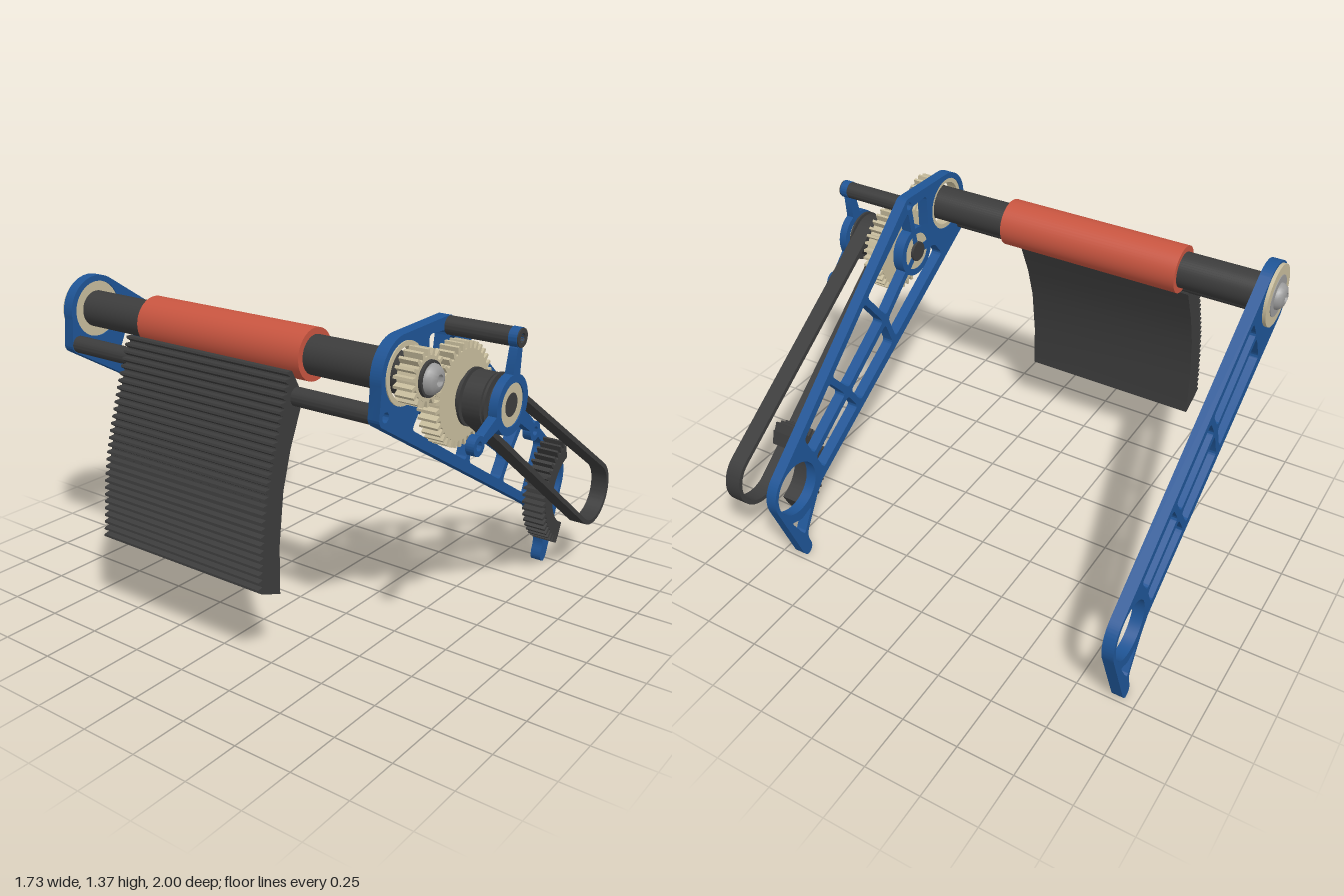
import * as THREE from 'three';
import { toCreasedNormals } from 'three/addons/utils/BufferGeometryUtils.js';

const mat = (color) => new THREE.MeshStandardMaterial({ color });
const BLUE = mat(0x1f5596), DARK = mat(0x3c3c3c), BEIGE = mat(0xc8bd9d), RED = mat(0xc85540), STEEL = mat(0x9a9a9a);
const rad = THREE.MathUtils.degToRad;

// Key axes in the x,y plane
const ROLLER = [-0.505, 1.22], ROD = [-0.62, 1.085], HUB = [-0.25, 1.093], RING = [0.725, 0.397];
const POST = [-0.21, 1.335];

export function createModel() {
  const group = new THREE.Group();

  const add = (name, geometry, material, parent = group) => {
    const mesh = new THREE.Mesh(geometry, material);
    mesh.name = name;
    parent.add(mesh);
    return mesh;
  };
  // Extrude a shape from z0 to z1
  const slab = (name, shape, z0, z1, material, parent) => {
    const g = new THREE.ExtrudeGeometry(shape, { depth: z1 - z0, bevelEnabled: false, curveSegments: 24 });
    g.translate(0, 0, z0);
    return add(name, toCreasedNormals(g, 0.5), material, parent);
  };
  const circle = (c, r) => new THREE.Path().absarc(c[0], c[1], r, 0, Math.PI * 2, false);
  const tube = (name, c, ro, ri, z0, z1, material, parent) => {
    const s = new THREE.Shape().absarc(c[0], c[1], ro, 0, Math.PI * 2, false);
    if (ri > 0) s.holes.push(circle(c, ri));
    return slab(name, s, z0, z1, material, parent);
  };
  // Outline wrapped tightly round two circles
  const hull = (a, ra, b, rb, Kind = THREE.Shape) => {
    const dx = b[0] - a[0], dy = b[1] - a[1];
    const t = Math.atan2(dy, dx), k = Math.acos((ra - rb) / Math.hypot(dx, dy));
    const s = new Kind();
    s.absarc(a[0], a[1], ra, t + k, t - k + Math.PI * 2, false);
    s.absarc(b[0], b[1], rb, t - k, t + k, false);
    s.closePath();
    return s;
  };
  // Window between bar centre lines: convex polygon shrunk by w, corners rounded
  const cell = (pts, w = 0.015) => {
    let p = pts.map((q) => new THREE.Vector2(...q));
    if (THREE.ShapeUtils.area(p) < 0) p.reverse();
    const n = p.length;
    const dir = p.map((q, i) => p[(i + 1) % n].clone().sub(q).normalize());
    p = p.map((q, i) => {
      const d0 = dir[(i + n - 1) % n], d1 = dir[i];
      const m = new THREE.Vector2(-d0.y - d1.y, d0.x + d1.x);
      return q.clone().addScaledVector(m, w / (1 + d0.dot(d1)));
    });
    const path = new THREE.Path(), r = 0.022;
    p.forEach((q, i) => {
      const s = q.clone().addScaledVector(dir[(i + n - 1) % n], -r), e = q.clone().addScaledVector(dir[i], r);
      if (i) path.lineTo(s.x, s.y); else path.moveTo(s.x, s.y);
      path.quadraticCurveTo(q.x, q.y, e.x, e.y);
    });
    path.closePath();
    return path;
  };
  // Toothed disc, or toothed sector when a0..a1 is less than a full turn
  const gear = (c, tip, root, n, inner, a0 = 0, a1 = Math.PI * 2) => {
    const pts = [], step = (a1 - a0) / n, full = a1 - a0 > 6.28;
    for (let i = 0; i < n; i++)
      for (const [f, r] of [[0, root], [0.25, root], [0.4, tip], [0.7, tip], [0.85, root]]) {
        const a = a0 + (i + f) * step;
        pts.push(new THREE.Vector2(c[0] + r * Math.cos(a), c[1] + r * Math.sin(a)));
      }
    const s = new THREE.Shape(pts);
    if (full) s.holes.push(circle(c, inner));
    else s.absarc(c[0], c[1], inner, a1, a0, true);
    return s;
  };

  // Side arms: shared outline with a hooked foot; the front one has a raised gear corner
  const arm = (raised) => {
    const top = rad(raised ? 49 : 56.2);
    const s = new THREE.Shape();
    s.absarc(...ROLLER, 0.145, raised ? rad(93) : top, rad(190), false);
    s.absarc(...ROD, 0.04, rad(185), rad(238.5), false);
    s.lineTo(0.56, 0.33);
    s.lineTo(0.61, 0.27);
    s.lineTo(0.69, 0.135);
    s.quadraticCurveTo(0.705, 0.1, 0.69, 0.065);
    s.quadraticCurveTo(0.67, 0.01, 0.712, 0);
    s.quadraticCurveTo(0.735, 0.005, 0.748, 0.045);
    s.absarc(...RING, 0.143, rad(-20), top, false);
    if (raised) s.absarc(...POST, 0.038, top, rad(93), false);
    s.closePath();
    s.holes.push(circle(ROLLER, 0.12), circle(RING, 0.124));
    s.holes.push(cell([[0.615, 0.272], [0.725, 0.235], [0.825, 0.275], [0.72, 0.09]], 0.016));
    if (raised) s.holes.push(circle(POST, 0.018));
    s.holes.push(circle(ROD, 0.02));

    // Ladder of windows either side of the middle bar
    const M = [[-0.355, 1.12], [0.016, 0.87], [0.324, 0.662], [0.6, 0.478]];
    const B = [[-0.43, 0.965], [-0.04, 0.722], [0.25, 0.545], [0.55, 0.362]];
    const T = raised ? [POST, [0.155, 1.05], [0.44, 0.803], [0.66, 0.61]]
      : M.map((m) => [m[0] + 0.07, m[1] + 0.105]);
    for (let i = raised ? 1 : 0; i < 3; i++) {
      s.holes.push(cell([T[i], T[i + 1], M[i + 1], M[i]]));
      s.holes.push(cell([M[i], M[i + 1], B[i + 1], B[i]]));
    }
    if (raised) {
      s.holes.push(cell([POST, T[1], M[1], HUB]));
      s.holes.push(cell([[-0.36, 1.345], POST, HUB, [-0.365, 1.1]]));
      s.holes.push(cell([[-0.47, 0.985], [-0.4, 1.075], HUB, M[1], B[1]]));
    }
    return s;
  };
  slab('frontArm', arm(true), 0.64, 0.69, BLUE);
  slab('rearArm', arm(false), -0.95, -0.9, BLUE);
  tube('frontArmHub', HUB, 0.115, 0.085, 0.64, 0.69, BLUE);
  tube('frontArmBearing', HUB, 0.085, 0.045, 0.642, 0.688, BEIGE);

  // Roller with sleeve, bearings and end bolts
  tube('rollerShaft', ROLLER, 0.078, 0, -0.955, 0.72, DARK);
  tube('rollerSleeve', ROLLER, 0.104, 0, -0.55, 0.29, RED);
  tube('frontRollerBearing', ROLLER, 0.12, 0.1, 0.645, 0.695, BEIGE);
  tube('rearRollerBearing', ROLLER, 0.12, 0.07, -0.948, -0.905, BEIGE);
  tube('rearFlange', ROLLER, 0.135, 0.09, -0.965, -0.95, BEIGE);
  tube('rearWasher', ROLLER, 0.09, 0, -0.968, -0.952, STEEL);
  const bolt = (name, z, dirZ) => {
    const g = new THREE.LatheGeometry([[0.058, 0], [0.056, 0.012], [0.045, 0.027], [0.024, 0.035], [0.022, 0.035],
      [0.02, 0.015], [0, 0.015]].map((p) => new THREE.Vector2(...p)), 24);
    g.rotateX(dirZ * Math.PI / 2);
    add(name, toCreasedNormals(g, 0.6), STEEL).position.set(...ROLLER, z);
  };
  tube('frontWasher', ROLLER, 0.068, 0, 0.72, 0.803, DARK);
  bolt('frontBolt', 0.803, 1);
  bolt('rearBolt', -0.966, -1);

  // Hollow cross rod and bracket post
  tube('crossRod', ROD, 0.037, 0.02, -0.92, 0.66, DARK);
  tube('bracketPost', POST, 0.036, 0.018, 0.69, 0.995, DARK);

  // Curved panel with ribs on its outer face
  const v3 = (p) => new THREE.Vector3(p[0], p[1], 0);
  const outer = new THREE.CatmullRomCurve3([[-0.645, 1.19], [-0.725, 0.96], [-0.803, 0.685], [-0.842, 0.355]].map(v3));
  const inner = [[-0.735, 0.313], [-0.734, 0.514], [-0.706, 0.733], [-0.66, 0.888], [-0.59, 1.05], [-0.605, 1.12]];
  const ribs = 29, profile = [];
  for (let i = 0; i < ribs; i++)
    for (const [f, d] of [[0, 0], [0.25, 0.024], [0.55, 0.024], [0.8, 0]]) {
      const u = (i + f) / ribs, p = outer.getPointAt(u), t = outer.getTangentAt(u);
      profile.push(new THREE.Vector2(p.x + t.y * d, p.y - t.x * d));
    }
  profile.push(new THREE.Vector2(-0.842, 0.355), ...inner.map((p) => new THREE.Vector2(...p)));
  slab('ribbedPanel', new THREE.Shape(profile), -0.55, 0.29, DARK);

  // Gear train
  slab('rollerGear', gear(ROLLER, 0.107, 0.083, 18, 0.065), 0.71, 0.79, BEIGE);
  slab('largeGear', gear(HUB, 0.202, 0.175, 36, 0.04), 0.71, 0.79, BEIGE);
  slab('sectorGear', gear(RING, 0.262, 0.228, 20, 0.165, rad(106), rad(250)), 0.69, 0.79, DARK);
  tube('gearShaft', HUB, 0.045, 0, 0.63, 0.985, DARK);

  // Belt drive
  const belt = hull(HUB, 0.107, RING, 0.145);
  belt.holes.push(hull(HUB, 0.085, RING, 0.125, THREE.Path));
  slab('belt', belt, 0.84, 0.915, DARK);
  tube('pulley', HUB, 0.085, 0, 0.8, 0.945, DARK);
  for (const z of [0.82, 0.925]) tube('pulleyFlange', HUB, 0.112, 0.04, z, z + 0.01, DARK);

  // Three-armed outer bracket
  const bracket = new THREE.Group();
  bracket.name = 'outerBracket';
  group.add(bracket);
  tube('bracketHub', HUB, 0.115, 0.083, 0.955, 0.99, BLUE, bracket);
  tube('bracketBearing', HUB, 0.085, 0.045, 0.95, 0.985, BEIGE, bracket);
  for (const end of [POST, [-0.48, 1.003], [-0.055, 0.937]]) {
    const d = new THREE.Vector2(end[0] - HUB[0], end[1] - HUB[1]), len = d.length();
    const at = (r) => [HUB[0] + d.x * r / len, HUB[1] + d.y * r / len];
    slab('bracketArm', hull(at(0.112), 0.026, at(len - 0.042), 0.018), 0.955, 0.99, BLUE, bracket);
    tube('bracketEye', end, 0.038, 0.018, 0.955, 0.99, BLUE, bracket);
  }

  return group;
}
